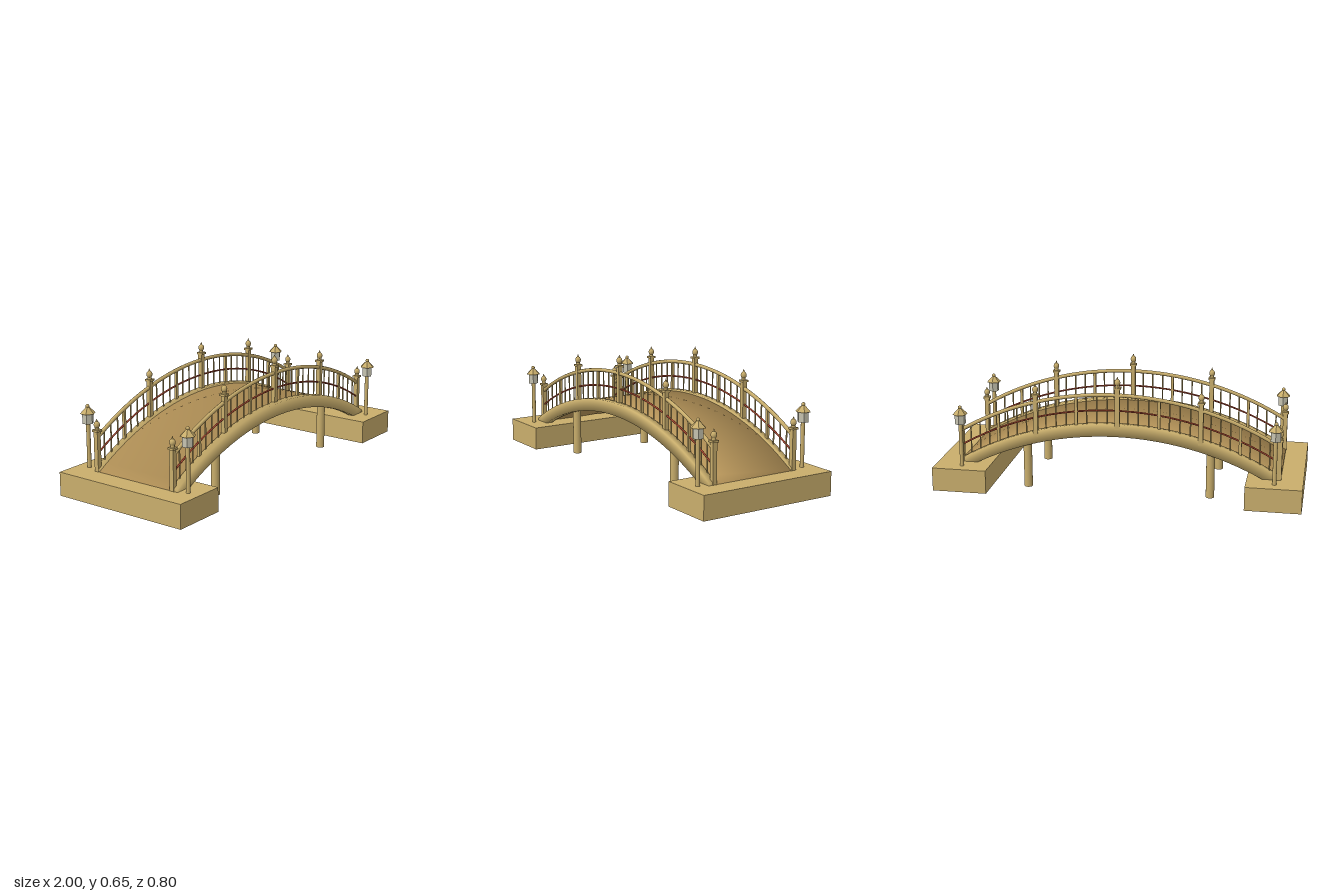
import * as THREE from 'three';

const mat = (name, color) => Object.assign(new THREE.MeshStandardMaterial({ color }), { name });

// Everything along the span follows one circular arch.
const R = 1.7, HALF = 0.88, RAIL_Z = 0.25;
const drop = (x) => R - Math.sqrt(R * R - x * x);

// Curved slab with a rectangular section and softly blended normals.
function archSlab(top, thick, z0, z1, segments = 32) {
  const pos = [], nor = [], idx = [];
  for (let i = 0; i <= segments; i++) {
    const x = -HALF + (2 * HALF * i) / segments;
    const y = top - drop(x);
    const end = i === 0 ? -1 : i === segments ? 1 : 0;
    for (const [z, sz, sy] of [[z1, 1, 1], [z0, -1, 1], [z0, -1, -1], [z1, 1, -1]]) {
      pos.push(x, sy > 0 ? y : y - thick, z);
      const n = new THREE.Vector3((sy * x) / R + end, sy * Math.sqrt(1 - (x / R) ** 2), sz).normalize();
      nor.push(n.x, n.y, n.z);
    }
  }
  for (let i = 0; i < segments; i++) {
    for (let j = 0; j < 4; j++) {
      const a = i * 4 + j, b = i * 4 + ((j + 1) % 4);
      idx.push(a, a + 4, b + 4, a, b + 4, b);
    }
  }
  const e = segments * 4;
  idx.push(0, 1, 2, 0, 2, 3, e, e + 3, e + 2, e, e + 2, e + 1);
  const g = new THREE.BufferGeometry();
  g.setAttribute('position', new THREE.Float32BufferAttribute(pos, 3));
  g.setAttribute('normal', new THREE.Float32BufferAttribute(nor, 3));
  g.setIndex(idx);
  return g;
}

// Round bar bent along the arch.
function archBar(y, z, radius, half) {
  const pts = [];
  for (let i = 0; i <= 24; i++) {
    const x = -half + (2 * half * i) / 24;
    pts.push(new THREE.Vector3(x, y - drop(x), z));
  }
  return new THREE.TubeGeometry(new THREE.CatmullRomCurve3(pts), 48, radius, 8);
}

export function createModel() {
  const model = new THREE.Group();
  model.name = 'archedFootbridge';
  const wood = mat('paleWood', 0xc9ae6c);
  const deckWood = mat('deckWood', 0xb8965a);
  const red = mat('redRope', 0xa8452f);
  const glass = mat('lanternGlass', 0xc6c3b0);
  const flatWood = mat('paleWoodFaceted', 0xc9ae6c);
  flatWood.flatShading = glass.flatShading = true;

  const add = (parent, name, geo, material, x = 0, y = 0, z = 0) => {
    const m = new THREE.Mesh(geo, material);
    m.name = name;
    m.position.set(x, y, z);
    parent.add(m);
    return m;
  };
  const box = (w, h, d) => new THREE.BoxGeometry(w, h, d);
  const cyl = (r0, r1, h, n = 16) => new THREE.CylinderGeometry(r0, r1, h, n);

  // Walkway and side beams
  add(model, 'deck', archSlab(0.38, 0.03, -0.245, 0.245), deckWood);
  add(model, 'frontBeam', archSlab(0.39, 0.07, 0.245, 0.285), wood);
  add(model, 'backBeam', archSlab(0.39, 0.07, -0.262, -0.23), wood);

  // Square railing post with collar, bulb and pointed tip
  function railingPost(x, z) {
    const g = new THREE.Group();
    g.name = 'railingPost';
    g.position.set(x, -drop(x), z);
    add(g, 'postShaft', box(0.025, 0.225, 0.025), wood, 0, 0.4725);
    add(g, 'postCollar', box(0.036, 0.011, 0.036), wood, 0, 0.589);
    add(g, 'postNeck', cyl(0.011, 0.011, 0.015), wood, 0, 0.6);
    add(g, 'postBulb', new THREE.SphereGeometry(0.016, 16, 12), wood, 0, 0.62).scale.y = 1.2;
    add(g, 'postTip', new THREE.ConeGeometry(0.008, 0.02, 12), wood, 0, 0.643);
    model.add(g);
  }

  const posts = [-0.87, -0.45, 0, 0.45, 0.87];
  for (const side of [1, -1]) {
    const z = side * RAIL_Z;
    add(model, 'handrail', archBar(0.55, z, 0.0105, 0.87), wood);
    add(model, 'redMiddleRail', archBar(0.464, z, 0.005, 0.87), red);
    posts.forEach((x, i) => {
      railingPost(x, z);
      if (i === posts.length - 1) return;
      // Seven balusters per bay, the middle one thicker
      for (let k = 1; k < 8; k++) {
        const bx = x + ((posts[i + 1] - x) * k) / 8;
        const thick = k === 4;
        const geo = thick ? box(0.015, 0.18, 0.015) : cyl(0.004, 0.004, 0.18, 8);
        add(model, thick ? 'middlePost' : 'baluster', geo, wood, bx, 0.46 - drop(bx), z);
      }
    });
  }

  // Hexagonal lantern on a pole
  function lamp(x, z) {
    const g = new THREE.Group();
    g.name = 'lamp';
    g.position.set(x, 0, z);
    add(g, 'lampPole', cyl(0.011, 0.011, 0.24), wood, 0, 0.25);
    add(g, 'lantern', cyl(0.03, 0.03, 0.054, 6), glass, 0, 0.397);
    add(g, 'lanternRoof', cyl(0.008, 0.042, 0.034, 6), flatWood, 0, 0.441);
    add(g, 'lanternKnob', new THREE.SphereGeometry(0.01, 12, 10), wood, 0, 0.462);
    model.add(g);
  }

  for (const sx of [-1, 1]) {
    add(model, 'abutment', box(0.3, 0.13, 0.8), wood, sx * 0.85, 0.065, 0);
    for (const sz of [-1, 1]) {
      add(model, 'pier', cyl(0.023, 0.023, 0.29, 20), wood, sx * 0.503, 0.145, sz * 0.232);
      lamp(sx * 0.85, sz * 0.33);
    }
  }
  return model;
}
